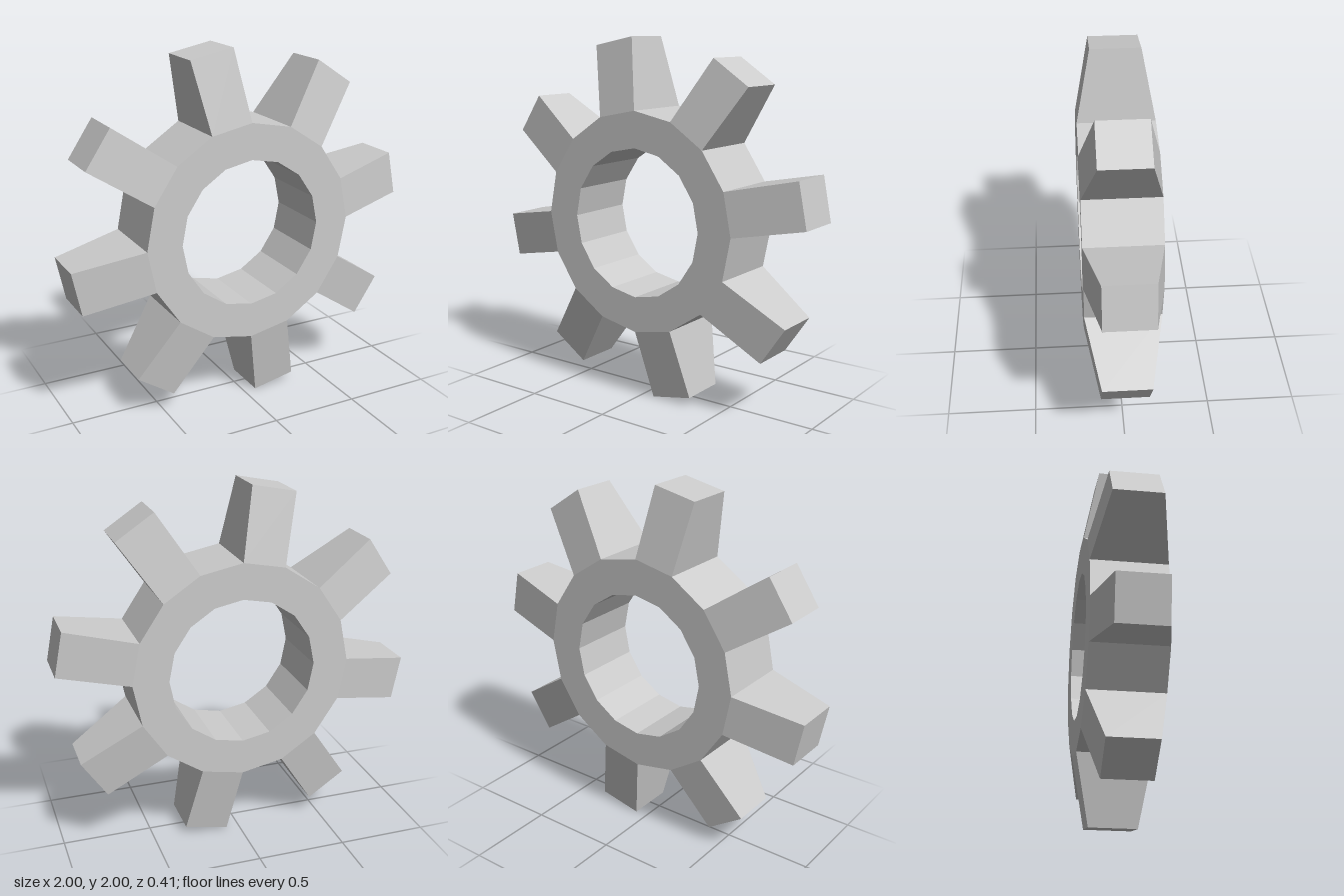
import * as THREE from 'three';

const SIDES = 16;
const OUTER = 0.613, INNER = 0.413, HALF_DEPTH = 0.207;
const TIP_DISTANCE = 0.995, TIP_HALF_WIDTH = 0.125, TIP_HALF_DEPTH = 0.132;
const STEP = (Math.PI * 2) / SIDES;

// Flat-shaded mesh from quads whose corners run anticlockwise seen from outside
function quadMesh(name, quads) {
  const positions = [];
  for (const [a, b, c, d] of quads) {
    for (const p of [a, b, c, a, c, d]) positions.push(p.x, p.y, p.z);
  }
  const geometry = new THREE.BufferGeometry();
  geometry.setAttribute('position', new THREE.Float32BufferAttribute(positions, 3));
  geometry.computeVertexNormals();
  const material = new THREE.MeshStandardMaterial({ color: 0xcccccc, flatShading: true });
  const mesh = new THREE.Mesh(geometry, material);
  mesh.name = name;
  return mesh;
}

const polar = (radius, angle, z) =>
  new THREE.Vector3(radius * Math.cos(angle), radius * Math.sin(angle), z);

// Sixteen-sided ring; every second outer facet is left open for a tooth
function createRing() {
  const quads = [];
  for (let i = 0; i < SIDES; i++) {
    const a = i * STEP, b = (i + 1) * STEP;
    const corners = (radius) => [
      polar(radius, a, HALF_DEPTH), polar(radius, a, -HALF_DEPTH),
      polar(radius, b, -HALF_DEPTH), polar(radius, b, HALF_DEPTH),
    ];
    const o = corners(OUTER), n = corners(INNER);
    quads.push([n[0], o[0], o[3], n[3]]); // front
    quads.push([n[2], o[2], o[1], n[1]]); // back
    quads.push([n[3], n[2], n[1], n[0]]); // bore
    if (i % 2 === 1) quads.push(o); // gap between teeth
  }
  return quadMesh('ring', quads);
}

// Tooth pointing along +x: flares slightly in width, tapers in depth
function createTooth(index) {
  const section = (x, w, d) => [
    new THREE.Vector3(x, -w, d), new THREE.Vector3(x, -w, -d),
    new THREE.Vector3(x, w, -d), new THREE.Vector3(x, w, d),
  ];
  const base = section(OUTER * Math.cos(STEP / 2), OUTER * Math.sin(STEP / 2), HALF_DEPTH);
  const tip = section(TIP_DISTANCE, TIP_HALF_WIDTH, TIP_HALF_DEPTH);
  const quads = [tip];
  for (let i = 0; i < 4; i++) {
    const j = (i + 1) % 4;
    quads.push([base[i], base[j], tip[j], tip[i]]);
  }
  const tooth = quadMesh(`tooth${index + 1}`, quads);
  tooth.rotation.z = (2 * index + 0.5) * STEP;
  return tooth;
}

export function createModel() {
  const gear = new THREE.Group();
  gear.name = 'gear';
  gear.add(createRing());
  for (let i = 0; i < SIDES / 2; i++) gear.add(createTooth(i));
  gear.position.y = 1;

  const model = new THREE.Group();
  model.name = 'gearModel';
  model.add(gear);
  return model;
}
